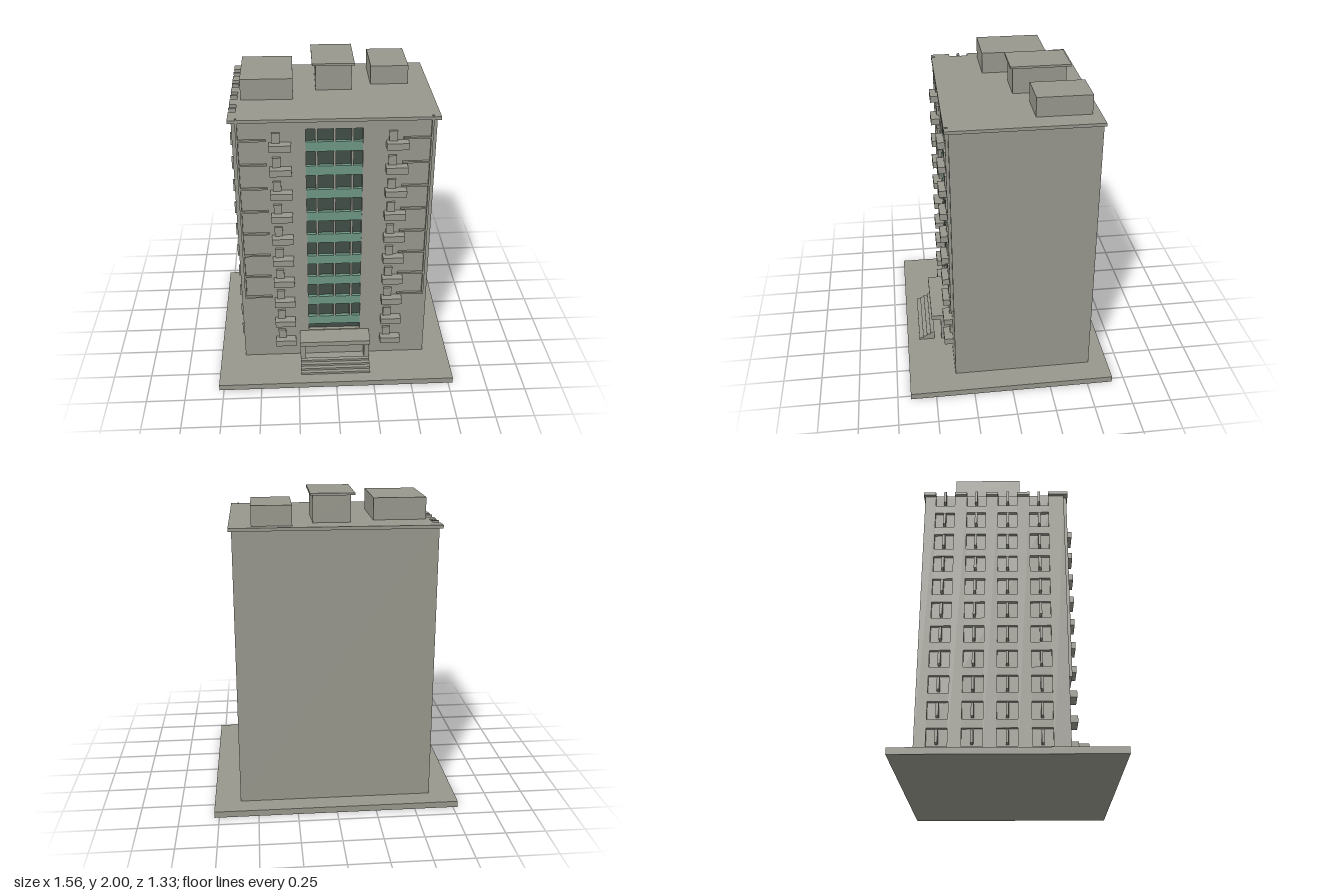
import * as THREE from 'three';

export function createModel() {
  const root = new THREE.Group();
  const mat = (name, color) => {
    const m = new THREE.MeshStandardMaterial({ color });
    m.name = name;
    return m;
  };
  const concrete = mat('concrete', 0x98978d);
  const green = mat('green panel', 0x6d9684);
  const glass = mat('dark glass', 0x424e48);

  // Box given by its lower and upper limits on each axis
  const box = (name, x0, x1, y0, y1, z0, z1, material = concrete, parent = root) => {
    const m = new THREE.Mesh(new THREE.BoxGeometry(x1 - x0, y1 - y0, z1 - z0), material);
    m.position.set((x0 + x1) / 2, (y0 + y1) / 2, (z0 + z1) / 2);
    m.name = name;
    parent.add(m);
    return m;
  };
  const group = (name) => {
    const g = new THREE.Group();
    g.name = name;
    root.add(g);
    return g;
  };

  const FLOOR = 0.163;
  const W = -0.615, E = 0.615, BACK = -0.54, FRONT = 0.36;
  const INNER = -0.592, GLASS_Z = 0.33;

  // Ground plate and tower core
  box('groundPlate', -0.78, 0.78, 0, 0.04, -0.665, 0.665);
  box('towerCore', INNER, E, 0.04, 1.8, BACK, GLASS_Z);

  // Front wall with the tall window opening
  const wall = new THREE.Shape();
  wall.moveTo(INNER, 0.04).lineTo(E, 0.04).lineTo(E, 1.8).lineTo(INNER, 1.8).closePath();
  const hole = new THREE.Path();
  hole.moveTo(-0.175, 0.244).lineTo(-0.175, 1.745).lineTo(0.172, 1.745).lineTo(0.172, 0.244).closePath();
  wall.holes.push(hole);
  const frontWall = new THREE.Mesh(
    new THREE.ExtrudeGeometry(wall, { depth: FRONT - GLASS_Z, bevelEnabled: false }), concrete);
  frontWall.position.z = GLASS_Z;
  frontWall.name = 'frontWall';
  root.add(frontWall);

  // Stairwell glazing: glass, spandrel bands and mullions
  const glazing = group('stairGlazing');
  box('glass', -0.175, 0.172, 0.244, 1.745, GLASS_Z, GLASS_Z + 0.004, glass, glazing);
  for (let i = 0; i < 9; i++) {
    const y = 0.292 + i * FLOOR;
    box('greenBand', -0.175, 0.172, y, y + 0.064, GLASS_Z, 0.358, green, glazing);
    for (const x of [-0.11, 0, 0.109])
      box('mullion', x - 0.007, x + 0.007, y + 0.064, i === 8 ? 1.745 : y + FLOOR,
        GLASS_Z, FRONT, concrete, glazing);
  }

  // Side wall: piers and spandrels leave recessed windows, each with a mullion
  const sideWall = group('sideWindowWall');
  const cols = [-0.409, -0.207, -0.005, 0.198];
  const half = 0.061;
  const piers = [];
  let start = BACK;
  for (const z of cols) {
    piers.push([start, z - half]);
    start = z + half;
  }
  piers.push([start, FRONT]);
  for (const [a, b] of piers) box('pier', W, INNER, 0.04, 1.8, a, b, concrete, sideWall);
  for (const z of cols) {
    let y = 0.04;
    for (let i = 0; i < 11; i++) {
      const c = 0.153 + i * FLOOR;
      box('spandrel', W, INNER, y, c - 0.055, z - half, z + half, concrete, sideWall);
      box('sideMullion', -0.637, INNER, c - 0.04, c + 0.04, z - 0.008, z + 0.008, concrete, sideWall);
      y = c + 0.055;
    }
  }

  // Roof slab, notched above the side windows
  const roof = group('roof');
  box('roofSlab', INNER, 0.635, 1.8, 1.82, -0.55, 0.385, concrete, roof);
  piers.forEach(([a, b], i) => box('roofEdge', -0.637, INNER, 1.8, 1.82,
    i === 0 ? -0.55 : a, i === 4 ? 0.385 : b, concrete, roof));

  // Rooftop housings
  box('leftHousing', -0.57, -0.245, 1.82, 1.955, -0.345, 0.072, concrete, roof);
  box('middleHousing', -0.1, 0.13, 1.82, 1.986, -0.41, -0.075, concrete, roof);
  box('middleHousingCap', -0.122, 0.147, 1.986, 2, -0.435, -0.058, concrete, roof);
  box('rightHousing', 0.257, 0.5, 1.82, 1.942, -0.497, -0.16, concrete, roof);

  // Balconies with a narrow raised panel above each
  const balconies = group('balconies');
  for (const x of [-0.398, 0.311]) {
    for (let i = 0; i < 10; i++) {
      const y = 0.154 + i * FLOOR;
      box('balcony', x, x + 0.135, y, y + 0.043, FRONT, 0.418, concrete, balconies);
      box('balconyPanel', x + 0.017, x + 0.068, y + 0.043, y + 0.107, FRONT, 0.376, concrete, balconies);
    }
  }

  // Raised corner ribs with floor ledges
  const ribs = group('cornerRibs');
  for (const s of [-1, 1]) {
    const span = (a, b) => (s > 0 ? [a, b] : [-b, -a]);
    box('cornerRib', ...span(0.581, 0.593), 0.533, 1.824, FRONT, 0.378, concrete, ribs);
    for (let i = 0; i < 8; i++) {
      const y = 0.533 + i * FLOOR;
      box('floorLedge', ...span(0.415, 0.581), y, y + 0.011, FRONT, 0.376, concrete, ribs);
    }
  }

  // Entrance: canopy, side walls and steps
  const entrance = group('entrance');
  box('canopy', -0.237, 0.235, 0.205, 0.239, FRONT, 0.492, concrete, entrance);
  box('entranceWall', -0.235, -0.2, 0.04, 0.205, FRONT, 0.43, concrete, entrance);
  box('entranceWall', 0.2, 0.235, 0.04, 0.205, FRONT, 0.43, concrete, entrance);
  for (let i = 0; i < 4; i++)
    box('step', -0.234, 0.23, 0.04 + i * 0.014, 0.054 + i * 0.014, 0.478, 0.583 - i * 0.026, concrete, entrance);

  return root;
}
